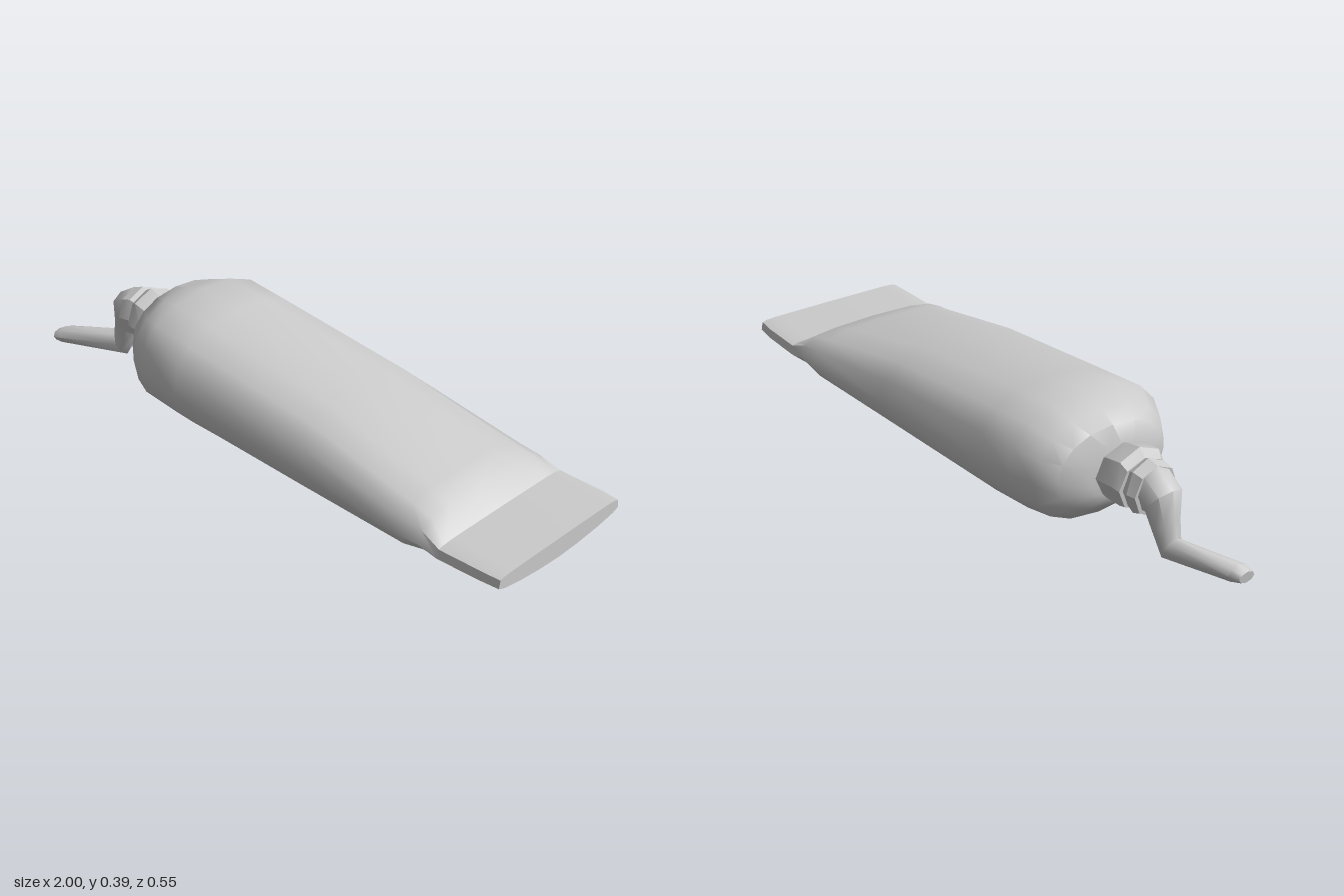
import * as THREE from 'three';
import { toCreasedNormals } from 'three/addons/utils/BufferGeometryUtils.js';

const material = new THREE.MeshStandardMaterial({ color: 0xcccccc });

// Signed power used for superellipse sections
const spow = (v, e) => Math.sign(v) * Math.pow(Math.abs(v), e);

// Skins closed sections running towards +x and caps both ends.
// Section: [topX, topY, bottomX, bottomY, centreZ, halfZ, topExponent, bottomExponent]
function loft(name, sections, sides, crease) {
  const pos = [], idx = [];
  for (const [tx, ty, bx, by, cz, hz, nt = 2, nb = 2] of sections) {
    const cx = (tx + bx) / 2, cy = (ty + by) / 2;
    for (let j = 0; j < sides; j++) {
      const a = (j / sides) * Math.PI * 2;
      const n = Math.sin(a) >= 0 ? nt : nb;
      const s = spow(Math.sin(a), 2 / n), c = spow(Math.cos(a), 2 / n);
      pos.push(cx + s * (tx - cx), cy + s * (ty - cy), cz + c * hz);
    }
  }
  const last = sections.length - 1;
  for (let i = 0; i < last; i++) {
    for (let j = 0; j < sides; j++) {
      const a = i * sides + j, d = i * sides + ((j + 1) % sides);
      idx.push(a, a + sides, d, d, a + sides, d + sides);
    }
  }
  for (const i of [0, last]) {
    const [tx, ty, bx, by, cz] = sections[i];
    const centre = pos.length / 3;
    pos.push((tx + bx) / 2, (ty + by) / 2, cz);
    for (let j = 0; j < sides; j++) {
      const a = i * sides + j, d = i * sides + ((j + 1) % sides);
      if (i === 0) idx.push(centre, a, d);
      else idx.push(centre, d, a);
    }
  }
  const geo = new THREE.BufferGeometry();
  geo.setAttribute('position', new THREE.Float32BufferAttribute(pos, 3));
  geo.setIndex(idx);
  const mesh = new THREE.Mesh(toCreasedNormals(geo, crease), material);
  mesh.name = name;
  return mesh;
}

// Upright section at a given x
const upright = (x, bottom, top, cz, hz, nt, nb) => [x, top, x, bottom, cz, hz, nt, nb];

export function createModel() {
  const group = new THREE.Group();
  group.name = 'squeezeTube';

  // Full body with a rounded shoulder, tapering to the tail
  group.add(loft('tubeBody', [
    upright(-0.56, 0.12, 0.28, 0.01, 0.11),
    upright(-0.54, 0.085, 0.34, -0.01, 0.19, 2.2, 2.2),
    upright(-0.48, 0.03, 0.362, -0.005, 0.235, 2.3, 2.3),
    upright(-0.40, 0.022, 0.39, 0, 0.273, 2.3, 2.2),
    upright(-0.25, 0.012, 0.373, 0, 0.277, 2.3, 2.2),
    upright(0.25, 0.003, 0.315, 0, 0.276, 2.4, 2.1),
    upright(0.65, 0.018, 0.22, 0, 0.276, 2.8, 1.9),
    upright(0.72, 0.045, 0.2, 0, 0.275, 3, 1.8),
    upright(0.79, 0.073, 0.147, 0, 0.275, 7, 1.6),
  ], 16, 0.9));

  // Flat pinched tail
  group.add(loft('crimpedTail', [
    upright(0.79, 0.073, 0.147, 0, 0.275, 7, 1.6),
    upright(0.94, 0.078, 0.147, 0, 0.272, 8, 1.6),
    upright(1.0, 0.082, 0.147, 0.002, 0.267, 8, 1.6),
  ], 16, 0.9));

  // Faceted neck, its thick collar set against the shoulder
  group.add(loft('neckCollar', [
    [-0.665, 0.285, -0.655, 0.12, 0.005, 0.085],
    [-0.635, 0.305, -0.64, 0.115, 0.01, 0.098],
    [-0.575, 0.292, -0.575, 0.115, 0.012, 0.1],
    [-0.53, 0.27, -0.53, 0.12, 0.01, 0.085],
  ], 8, 0.6));
  group.add(loft('nozzle', [
    [-0.715, 0.28, -0.705, 0.12, 0.01, 0.075],
    [-0.68, 0.292, -0.69, 0.115, 0.005, 0.08],
    [-0.64, 0.27, -0.64, 0.13, 0.005, 0.065],
  ], 8, 0.6));

  // Strand of paste lying on the ground, rising into the nozzle
  group.add(loft('pasteStrand', [
    [-1.0, 0.052, -0.995, 0.014, 0.1, 0.027],
    [-0.975, 0.066, -0.97, 0.01, 0.09, 0.036],
    [-0.805, 0.092, -0.765, 0.012, 0.01, 0.032],
    [-0.795, 0.15, -0.735, 0.075, 0.008, 0.042],
    [-0.785, 0.235, -0.708, 0.14, 0.008, 0.06],
    [-0.715, 0.28, -0.695, 0.13, 0.008, 0.062],
    [-0.67, 0.27, -0.67, 0.13, 0.008, 0.055],
  ], 8, 0.9));

  return group;
}
